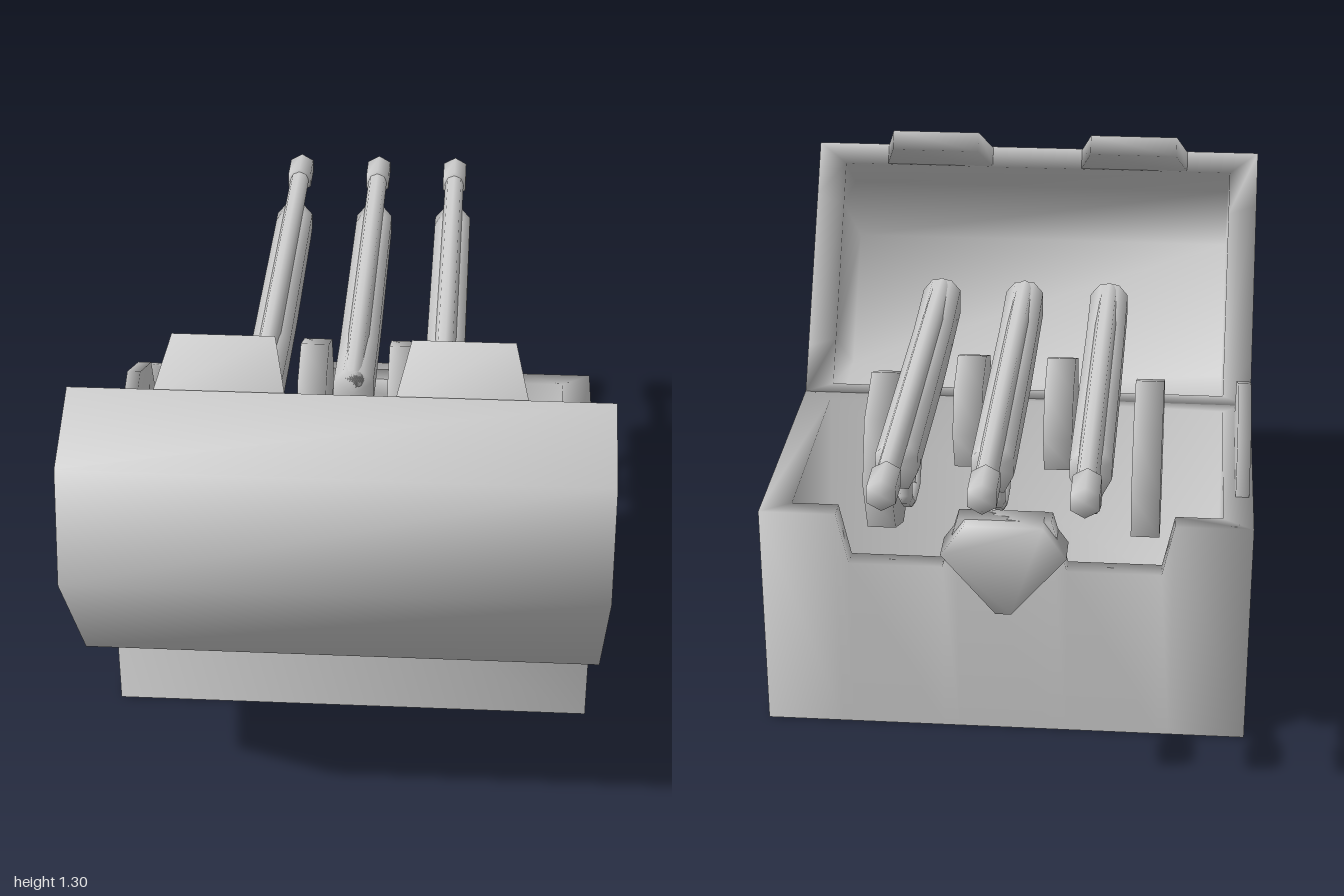
import * as THREE from 'three';
import { mergeVertices, mergeGeometries } from 'three/addons/utils/BufferGeometryUtils.js';

const grey = new THREE.MeshStandardMaterial({ color: 0xcccccc, side: THREE.DoubleSide });

// Weld corners so the shading flows over the edges
function smooth(geo) {
  geo.deleteAttribute('uv');
  geo.deleteAttribute('normal');
  const g = mergeVertices(geo, 1e-4);
  g.computeVertexNormals();
  return g;
}

// Skin between rows of [x, y, z] points
function loft(rows, wrapRows = false, wrapCols = false) {
  const n = rows[0].length, m = rows.length, index = [];
  for (let i = 0; i < (wrapRows ? m : m - 1); i++) {
    for (let j = 0; j < (wrapCols ? n : n - 1); j++) {
      const i2 = (i + 1) % m, j2 = (j + 1) % n;
      const a = i * n + j, b = i * n + j2, c = i2 * n + j2, d = i2 * n + j;
      index.push(a, d, c, a, c, b);
    }
  }
  const geo = new THREE.BufferGeometry();
  geo.setAttribute('position', new THREE.Float32BufferAttribute(rows.flat(2), 3));
  geo.setIndex(index);
  return geo;
}

function add(parent, name, geo, x = 0, y = 0, z = 0) {
  const mesh = new THREE.Mesh(geo, grey);
  mesh.name = name;
  mesh.position.set(x, y, z);
  parent.add(mesh);
}

function shapeOf(points) {
  return new THREE.Shape(points.map(([x, y]) => new THREE.Vector2(x, y)));
}

// Chest box: outer wall, rim with two notches at the back, inner tub and floor
function makeBox() {
  const ring = (x, zBack, zFront, y, drop) => {
    const notch = [[-0.43, 0], [-0.4, drop], [-0.16, drop], [-0.12, 0],
      [0.12, 0], [0.16, drop], [0.4, drop], [0.43, 0]];
    return [[x, y, zFront], [-x, y, zFront], [-x, y, zBack],
      ...notch.map(([nx, d]) => [nx, y - d, zBack]), [x, y, zBack]];
  };
  const floor = ring(0.555, -0.365, 0.207, 0.025, 0);
  const rows = [
    ring(0.628, -0.42, 0.335, 0, 0),
    ring(0.628, -0.42, 0.335, 0.615, 0.14),
    ring(0.55, -0.365, 0.275, 0.615, 0.14),
    floor,
    floor.map(() => [0, 0.025, -0.08]),
  ];
  return smooth(loft(rows, false, true));
}

// Hollow lid in its own frame: opening in the plane y = 0, hinge at z = 0
function makeLid() {
  const outer = [[0, 0], [-0.064, -0.215], [0.131, -0.426], [0.576, -0.428], [0.768, -0.222], [0.73, 0]];
  const inner = [[0.025, 0], [0.025, -0.19], [0.155, -0.365], [0.55, -0.365], [0.67, -0.2], [0.67, 0]];
  const X = 0.628, Xi = 0.55;
  const row = (p, x) => p.map(([z, y]) => [x, y, z]);
  const edge = (p, x) => p.map(([z]) => [x, 0, Math.min(Math.max(z, p[0][0]), p[5][0])]);
  const shell = loft([
    row(outer, -X), row(outer, X), edge(outer, X), edge(inner, Xi),
    row(inner, Xi), row(inner, -Xi), edge(inner, -Xi), edge(outer, -X),
  ], true);
  const rim = (za, xa, zb, xb) => loft([[[-xa, 0, za], [xa, 0, za]], [[-xb, 0, zb], [xb, 0, zb]]]);
  return smooth(mergeGeometries([shell, rim(0, X, 0.025, Xi), rim(0.67, Xi, 0.73, X)]));
}

function makeTube(points, radius) {
  const curve = new THREE.CatmullRomCurve3(
    points.map(([z, y]) => new THREE.Vector3(0, y, z)), false, 'catmullrom', 0);
  return new THREE.TubeGeometry(curve, 24, radius, 6);
}

// Rifle lying along z with the muzzle towards -z
function makeRifle() {
  const rifle = new THREE.Group();
  rifle.name = 'rifle';

  // Stock: octagonal section, slightly deeper in the middle
  const section = (z, bottom, top, w) => [
    [w * 0.5, top], [w, top - 0.03], [w, bottom + 0.045], [w * 0.55, bottom],
    [-w * 0.55, bottom], [-w, bottom + 0.045], [-w, top - 0.03], [-w * 0.5, top],
  ].map(([x, y]) => [x, y, z]);
  const ends = [section(0.25, 0.855, 0.995, 0.05), section(-0.735, 0.857, 0.975, 0.05)];
  const centre = (ring, y) => ring.map((p) => [0, y, p[2]]);
  add(rifle, 'stock', smooth(loft([
    centre(ends[0], 0.93), ends[0], section(0.02, 0.845, 0.975, 0.05), section(-0.2, 0.837, 0.975, 0.05),
    section(-0.68, 0.85, 0.975, 0.05), ends[1], centre(ends[1], 0.92),
  ], false, true)));

  // Barrel and muzzle
  const rod = (name, r, z0, z1, sides) => {
    const geo = new THREE.CylinderGeometry(r, r, z0 - z1, sides);
    geo.rotateX(Math.PI / 2);
    add(rifle, name, smooth(geo), 0, 0.973, (z0 + z1) / 2);
  };
  rod('barrel', 0.027, 0.25, -0.92, 8);
  rod('muzzle', 0.038, -0.9, -1, 6);

  // Trigger guard and trigger
  add(rifle, 'triggerGuard', makeTube([[-0.38, 0.86], [-0.405, 0.768], [-0.447, 0.72],
    [-0.535, 0.72], [-0.592, 0.76], [-0.603, 0.86]], 0.018));
  add(rifle, 'trigger', makeTube([[-0.5, 0.86], [-0.463, 0.81], [-0.466, 0.78], [-0.488, 0.75]], 0.012));
  return rifle;
}

export function createModel() {
  const model = new THREE.Group();
  model.name = 'weaponChest';
  add(model, 'chestBox', makeBox());

  // Open lid tilted back on its hinge, with two locking tabs
  const lid = new THREE.Group();
  lid.name = 'lid';
  lid.position.set(0, 0.615, 0.32);
  lid.rotation.x = -0.965;
  model.add(lid);
  add(lid, 'lidShell', makeLid());
  for (const side of [-1, 1]) {
    const tab = new THREE.ExtrudeGeometry(
      shapeOf([[-0.155, -0.02], [0.155, -0.02], [0.12, 0.145], [-0.12, 0.145]]),
      { depth: 0.055, bevelEnabled: false });
    add(lid, 'lidTab', smooth(tab), side * 0.278, 0, 0.672);
  }

  // Shield-shaped lock plate on the notched wall
  const plate = new THREE.ExtrudeGeometry(
    shapeOf([[-0.1, 0.615], [-0.16, 0.53], [-0.02, 0.365], [0.02, 0.365], [0.16, 0.53], [0.1, 0.615]]),
    { depth: 0.095, bevelEnabled: false });
  add(model, 'lockPlate', smooth(plate), 0, 0, -0.458);

  // Upright octagonal discs: x, y, z, radius, thickness
  const discs = [
    [-0.6, 0.57, -0.003, 0.258, 0.035],
    [-0.352, 0.622, -0.042, 0.222, 0.075],
    [0.345, 0.622, -0.042, 0.222, 0.075],
    [-0.12, 0.745, -0.047, 0.158, 0.075],
    [0.115, 0.745, -0.047, 0.158, 0.075],
  ];
  for (const [x, y, z, r, t] of discs) {
    const geo = new THREE.CylinderGeometry(r, r, t, 8);
    geo.rotateZ(Math.PI / 2);
    add(model, 'disc', smooth(geo), x, y, z);
  }

  // Three rifles side by side
  for (const x of [-0.23, 0, 0.226]) {
    const rifle = makeRifle();
    rifle.position.x = x;
    model.add(rifle);
  }
  return model;
}
